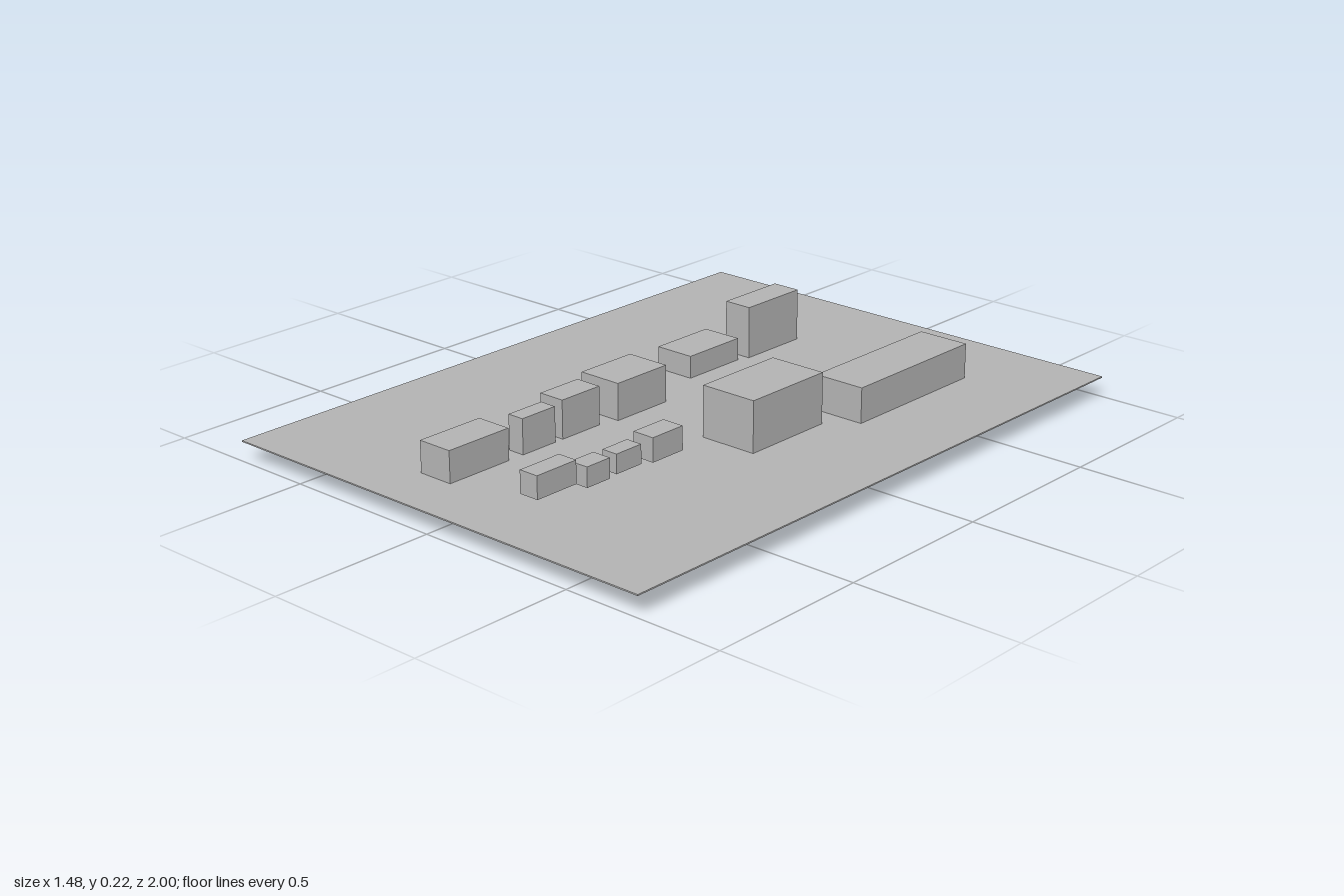
import * as THREE from 'three';

const gray = new THREE.MeshStandardMaterial({ color: 0xb2b2b2 });
gray.name = 'plainGray';

// Box given by its extents along each axis
function block(name, [x0, x1], [y0, y1], [z0, z1]) {
  const mesh = new THREE.Mesh(new THREE.BoxGeometry(x1 - x0, y1 - y0, z1 - z0), gray);
  mesh.position.set((x0 + x1) / 2, (y0 + y1) / 2, (z0 + z1) / 2);
  mesh.name = name;
  return mesh;
}

// Extents of each block, back to front: x, y, z
const rightRow = [
  [[-0.225, -0.135], [0.033, 0.22], [-0.658, -0.432]],
  [[-0.275, -0.148], [0.026, 0.13], [-0.397, -0.185]],
  [[-0.213, -0.073], [0.06, 0.173], [0.003, 0.203]],
  [[-0.174, -0.09], [0.06, 0.177], [0.26, 0.407]],
  [[-0.143, -0.09], [0.06, 0.167], [0.435, 0.56]],
  [[-0.202, -0.09], [0.057, 0.156], [0.613, 0.83]],
];
const leftRow = [
  [[0.285, 0.447], [0, 0.168], [-0.722, -0.232]],
  [[0.186, 0.367], [0.06, 0.215], [-0.158, 0.138]],
  [[0.2, 0.27], [0.099, 0.17], [0.315, 0.433]],
  [[0.202, 0.253], [0.099, 0.156], [0.46, 0.555]],
  [[0.19, 0.25], [0.093, 0.152], [0.577, 0.663]],
  [[0.173, 0.235], [0.108, 0.175], [0.687, 0.83]],
];

export function createModel() {
  const model = new THREE.Group();
  model.name = 'blockLayout';

  // Thin ground slab
  model.add(block('groundSlab', [-0.74, 0.74], [0.058, 0.062], [-1, 1]));

  // Two rows of blocks, some sunk through the slab and some raised above it
  for (const [side, row] of [['right', rightRow], ['left', leftRow]]) {
    const group = new THREE.Group();
    group.name = `${side}Row`;
    row.forEach((extents, i) => group.add(block(`${side}Block${i + 1}`, ...extents)));
    model.add(group);
  }
  return model;
}
